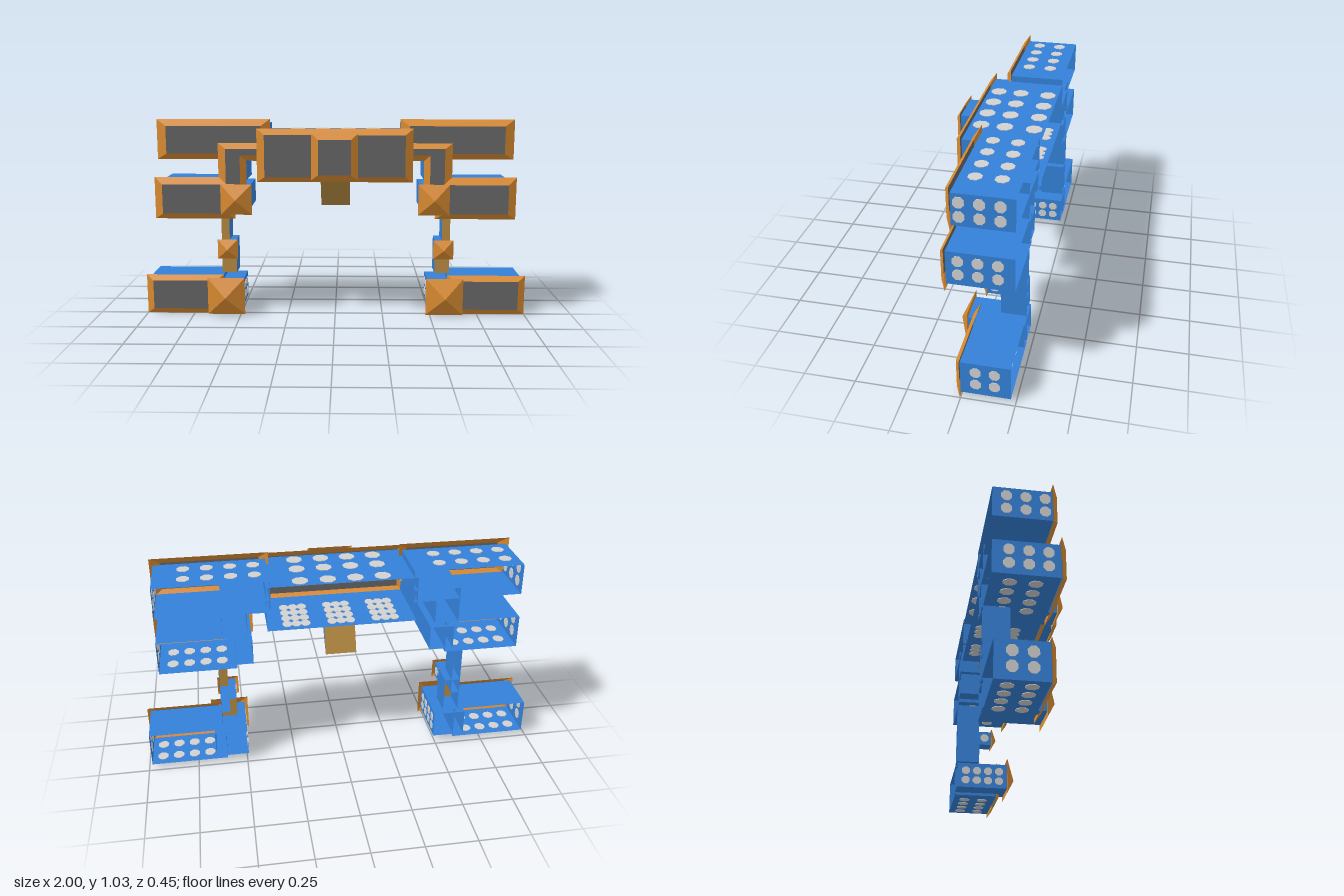
import * as THREE from 'three';
import { mergeGeometries } from 'three/addons/utils/BufferGeometryUtils.js';

const mat = (name, color) => {
  const m = new THREE.MeshStandardMaterial({ color, side: THREE.DoubleSide, flatShading: true });
  m.name = name;
  return m;
};

const BACK = -0.227; // every hull is open at this plane

export function createModel() {
  const model = new THREE.Group();
  const blue = mat('hull blue', 0x3480d8);
  const orange = mat('frame orange', 0xd88a30);
  const ochre = mat('strut ochre', 0xb58a40);
  const dark = mat('screen grey', 0x646464);
  const pale = mat('window grey', 0xd0d0d0);

  const add = (parent, name, geo, material) => {
    const m = new THREE.Mesh(geo, material);
    m.name = name;
    parent.add(m);
  };
  const group = (name) => {
    const g = new THREE.Group();
    g.name = name;
    model.add(g);
    return g;
  };

  // Counter-clockwise rectangle, and mirroring of any outline
  const rect = (x0, x1, y0, y1) => [[x0, y0], [x1, y0], [x1, y1], [x0, y1]];
  const flip = (pts, s) => (s > 0 ? pts : pts.map(([x, y]) => [-x, y]).reverse());

  // Ring of flat faces joining outline a at depth za to outline b at depth zb
  const band = (a, za, b, zb) => {
    const pos = [];
    a.forEach((p, i) => {
      const j = (i + 1) % a.length;
      const A = [...p, za], B = [...a[j], za], C = [...b[j], zb], D = [...b[i], zb];
      pos.push(...A, ...B, ...C, ...A, ...C, ...D);
    });
    const g = new THREE.BufferGeometry();
    g.setAttribute('position', new THREE.Float32BufferAttribute(pos, 3));
    g.computeVertexNormals();
    return g;
  };
  const panel = (pts, z) =>
    new THREE.ShapeGeometry(new THREE.Shape(pts.map((p) => new THREE.Vector2(...p)))).translate(0, 0, z);

  const sleeve = (g, name, pts, z0, z1) => add(g, name, band(pts, z0, pts, z1), blue);
  // Bevelled frame around a flat grey screen
  const screen = (g, name, outer, inner, z0, z1) => {
    add(g, name + 'Frame', band(outer, z0, inner, z1), orange);
    add(g, name + 'Screen', panel(inner, z1), dark);
  };
  const pyramid = (g, name, x0, x1, y0, y1, z0, z1, s) => {
    const base = flip(rect(x0, x1, y0, y1), s);
    const tip = base.map(() => [s * (x0 + x1) / 2, (y0 + y1) / 2]);
    add(g, name, band(base, z0, tip, z1), orange);
  };

  // Thin rounded windows set through a wall; axis x: u = z, v = y; axis y: u = x, v = z
  const windows = (g, name, axis, at, us, vs, wu, wv) => {
    const list = [];
    for (const u of us) for (const v of vs) {
      const r = 0.5 / Math.cos(Math.PI / 8);
      const c = new THREE.CylinderGeometry(r, r, 0.006, 8).rotateY(Math.PI / 8);
      if (axis === 'x') c.scale(wv, 1, wu).rotateZ(Math.PI / 2).translate(at, v, u);
      else c.scale(wu, 1, wv).translate(u, at, v);
      list.push(c);
    }
    add(g, name, mergeGeometries(list), pale);
  };
  const row = (start, step, n) => Array.from({ length: n }, (_, i) => start + i * step);

  // Centre block with its stepped front screen
  const centre = group('centreBlock');
  sleeve(centre, 'centreHull', rect(-0.365, 0.365, 0.74, 0.968), BACK, 0.133);
  screen(centre, 'centre', rect(-0.39, 0.39, 0.725, 0.993), rect(-0.35, 0.35, 0.752, 0.962), 0.133, 0.16);
  sleeve(centre, 'noseHull', rect(-0.097, 0.097, 0.757, 0.958), 0.16, 0.206);
  screen(centre, 'nose', rect(-0.115, 0.115, 0.745, 0.974), rect(-0.08, 0.08, 0.772, 0.945), 0.206, 0.228);
  windows(centre, 'centreTopWindows', 'y', 0.968, row(-0.2, 0.133, 4), [-0.175, -0.035, 0.08], 0.075, 0.075);
  for (const x of [-0.22, 0, 0.22])
    windows(centre, 'centreFloorWindows', 'y', 0.74, row(x - 0.045, 0.045, 3), row(-0.17, 0.06, 4), 0.045, 0.058);

  // Wedge hanging below the centre: ochre slopes, blue triangular cheeks
  const wedge = group('wedge');
  const section = [[-0.1, 0.74], [-0.17, 0.555], [-0.02, 0.74]]; // z, y
  const slope = (p, q) => {
    const len = Math.hypot(q[0] - p[0], q[1] - p[1]);
    return new THREE.PlaneGeometry(0.155, len)
      .rotateX(Math.atan2(q[0] - p[0], q[1] - p[1]))
      .translate(0, (p[1] + q[1]) / 2, (p[0] + q[0]) / 2);
  };
  add(wedge, 'wedgeBack', slope(section[1], section[0]), ochre);
  add(wedge, 'wedgeFront', slope(section[1], section[2]), ochre);
  for (const s of [-1, 1])
    add(wedge, 'wedgeCheek', panel(section.map(([z, y]) => [-z, y]), 0).rotateY(Math.PI / 2).translate(s * 0.0775, 0, 0), blue);

  for (const s of [-1, 1]) {
    const side = s > 0 ? 'left' : 'right';
    const box = (...r) => flip(rect(...r), s);

    // Upper wing
    const upper = group(side + 'UpperWing');
    sleeve(upper, 'upperHull', box(0.345, 0.888, 0.845, 1), BACK, 0.045);
    screen(upper, 'upper', box(0.33, 0.905, 0.83, 1.033), box(0.375, 0.855, 0.86, 1), 0.045, 0.072);
    windows(upper, 'upperTopWindows', 'y', 1, row(s > 0 ? 0.41 : -0.82, 0.111, 4), [-0.14, -0.025], 0.06, 0.06);
    windows(upper, 'upperSideWindows', 'x', s * 0.888, row(-0.163, 0.087, 3), [0.89, 0.958], 0.049, 0.052);

    // Bent arm from the centre down to the middle wing
    const arm = group(side + 'BentArm');
    const bend = (x0, x1, x2, y0, y1, y2) =>
      flip([[x0, y0], [x0, y1], [x1, y1], [x1, y0], [x2, y0], [x2, y2], [x0 - 0, y2]].length
        ? [[x1, y0], [x2, y0], [x2, y2], [x0, y2], [x0, y1], [x1, y1]] : [], s);
    sleeve(arm, 'armHull', bend(0.35, 0.46, 0.578, 0.715, 0.84, 0.9), BACK, 0.075);
    screen(arm, 'arm', bend(0.34, 0.45, 0.593, 0.64, 0.825, 0.915), bend(0.345, 0.48, 0.553, 0.66, 0.855, 0.888), 0.075, 0.098);

    // Middle wing and its pyramid-tipped inner end
    const middle = group(side + 'MiddleWing');
    sleeve(middle, 'middleHull', box(0.52, 0.895, 0.55, 0.717), BACK, 0.075);
    screen(middle, 'middle', box(0.51, 0.92, 0.527, 0.742), box(0.55, 0.878, 0.556, 0.706), 0.075, 0.1);
    sleeve(middle, 'middleTipHull', box(0.44, 0.56, 0.57, 0.692), BACK, 0.125);
    pyramid(middle, 'middleTip', 0.42, 0.578, 0.556, 0.712, 0.125, 0.167, s);
    windows(middle, 'middleSideWindows', 'x', s * 0.895, row(-0.153, 0.087, 3), [0.604, 0.672], 0.049, 0.052);
    windows(middle, 'middleFloorWindows', 'y', 0.55, row(0.59, 0.08, 4).map((x) => s * x), [-0.14, -0.025], 0.052, 0.06);

    // Lower arm column with ochre front and a small pyramid-tipped pod
    const column = group(side + 'Column');
    for (const [x0, x1, y0, y1] of [[0.57, 0.613, 0.3, 0.55], [0.535, 0.613, 0.195, 0.376]]) {
      sleeve(column, 'columnHull', box(x0, x1, y0, y1), BACK, -0.102);
      add(column, 'columnFront', panel(box(x0, x1, y0, y1), -0.102), ochre);
    }
    sleeve(column, 'podHull', box(0.533, 0.61, 0.3, 0.377), -0.102, -0.036);
    pyramid(column, 'podTip', 0.518, 0.625, 0.288, 0.391, -0.036, -0.005, s);
    for (const x of [0.533, 0.61])
      windows(column, 'podWindow', 'x', s * x, [-0.074], [0.34], 0.045, 0.045);

    // Lower wing and its large pyramid-tipped inner end
    const lower = group(side + 'LowerWing');
    sleeve(lower, 'lowerHull', box(0.6, 0.983, 0.02, 0.195), BACK, 0.003);
    screen(lower, 'lower', box(0.59, 1, 0, 0.21), box(0.63, 0.962, 0.03, 0.183), 0.003, 0.026);
    sleeve(lower, 'lowerTipHull', box(0.492, 0.655, 0.035, 0.172), BACK, 0.05);
    pyramid(lower, 'lowerTip', 0.475, 0.67, 0.008, 0.203, 0.05, 0.1, s);
    windows(lower, 'lowerSideWindows', 'x', s * 0.983, [-0.153, -0.067], [0.078, 0.146], 0.049, 0.052);
    windows(lower, 'lowerInnerWindows', 'x', s * 0.492, row(-0.18, 0.062, 4), [0.076, 0.13], 0.045, 0.042);
    windows(lower, 'lowerFloorWindows', 'y', 0.02, row(0.69, 0.08, 4).map((x) => s * x), [-0.165, -0.065], 0.052, 0.055);
  }
  return model;
}
